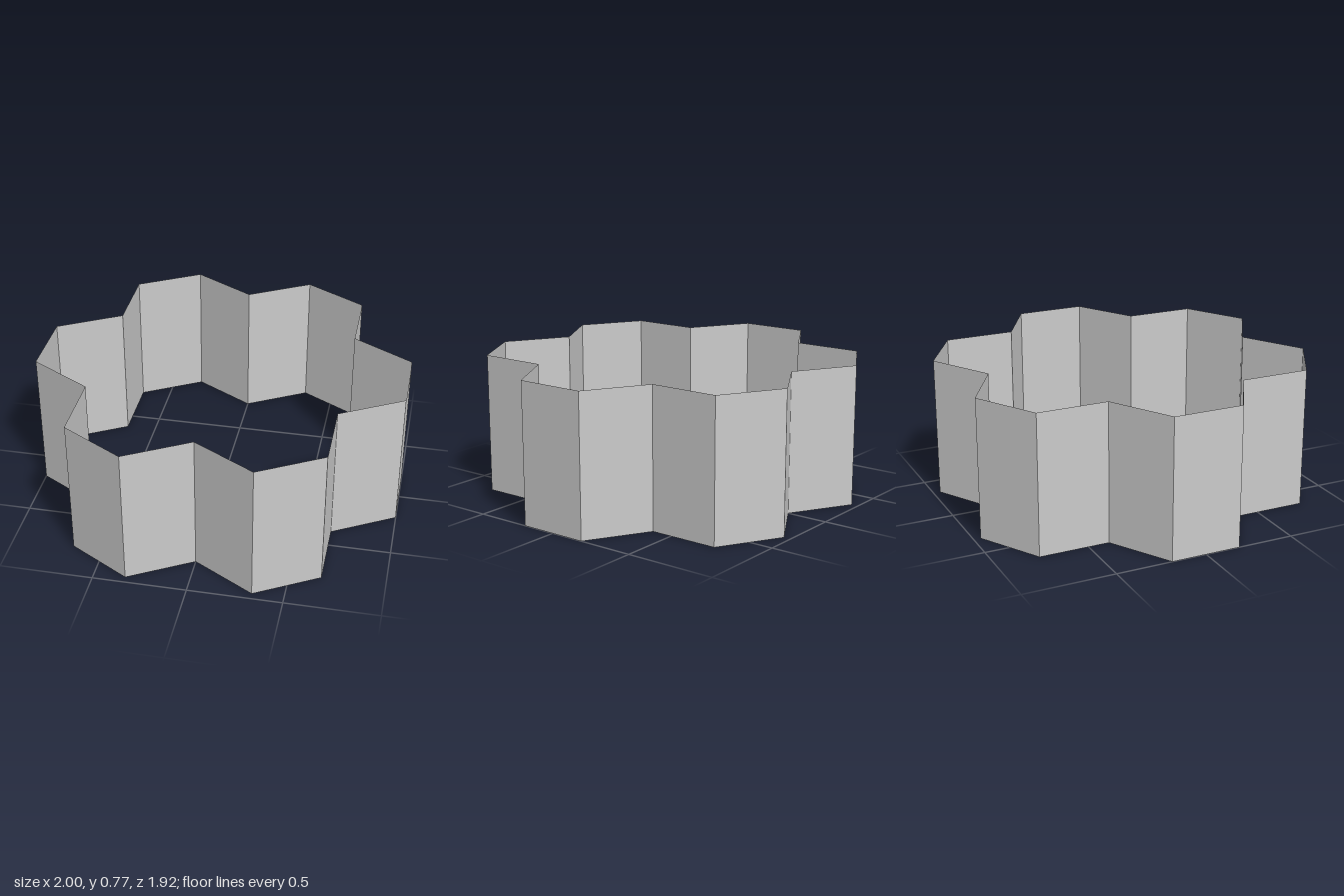
import * as THREE from 'three';

const CELL = 2 / (3 * Math.sqrt(3)); // side of one hexagonal cell
const HEIGHT = 0.77;

// Outer outline of six hexagonal cells set around a centre: three corners from each cell
function cellOutline() {
  const points = [];
  for (let k = 0; k < 6; k++) {
    const a = (k * Math.PI) / 3;
    const reach = CELL * Math.sqrt(3);
    for (const turn of [-Math.PI / 2, -Math.PI / 6, Math.PI / 6]) {
      points.push([
        reach * Math.cos(a) + CELL * Math.cos(a + turn),
        reach * Math.sin(a) + CELL * Math.sin(a + turn),
      ]);
    }
  }
  return points;
}

// Thin upright wall along a closed outline, one flat panel per edge
function wallGeometry(outline, height) {
  const positions = [];
  outline.forEach(([px, pz], i) => {
    const [qx, qz] = outline[(i + 1) % outline.length];
    positions.push(px, 0, pz, px, height, pz, qx, height, qz);
    positions.push(px, 0, pz, qx, height, qz, qx, 0, qz);
  });
  const geometry = new THREE.BufferGeometry();
  geometry.setAttribute('position', new THREE.Float32BufferAttribute(positions, 3));
  geometry.computeVertexNormals();
  return geometry;
}

export function createModel() {
  const group = new THREE.Group();
  group.name = 'hexagonalRing';

  // Open-ended wall, without top or bottom
  const material = new THREE.MeshStandardMaterial({
    color: 0xcccccc,
    flatShading: true,
    side: THREE.DoubleSide,
  });
  const wall = new THREE.Mesh(wallGeometry(cellOutline(), HEIGHT), material);
  wall.name = 'outerWall';
  group.add(wall);

  return group;
}
